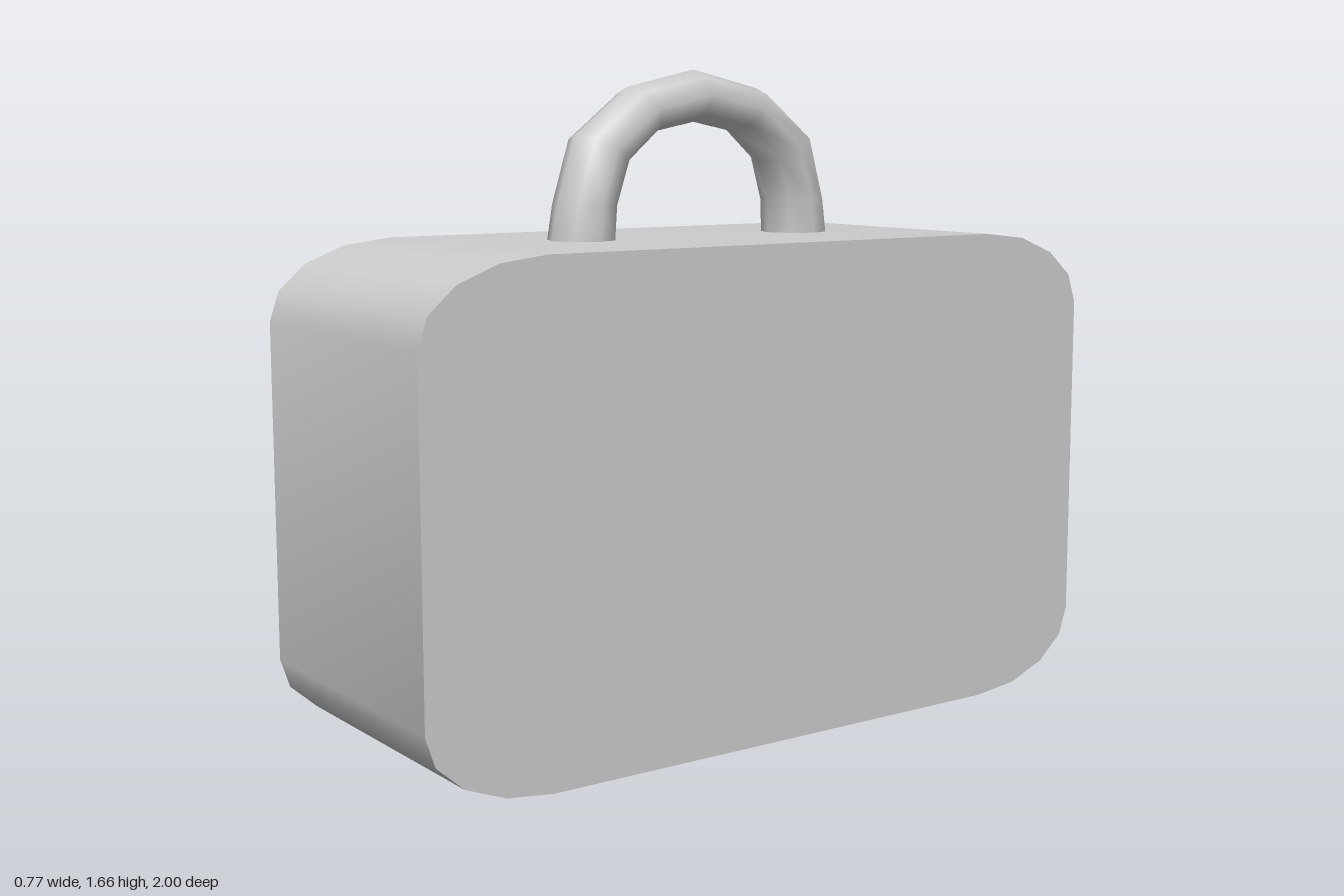
import * as THREE from 'three';
import { toCreasedNormals } from 'three/addons/utils/BufferGeometryUtils.js';

const WIDTH = 0.772, HEIGHT = 1.243;

// Case: rounded rectangle profile with elliptical corners, extruded across x
function caseGeometry() {
  const rx = 0.33, ry = 0.195, points = [];
  const corners = [[1, 1], [-1, 1], [-1, -1], [1, -1]];
  corners.forEach(([sx, sy], c) => {
    for (let i = 0; i <= 4; i++) {
      const a = c * Math.PI / 2 + i * Math.PI / 8;
      points.push(new THREE.Vector2(
        sx * (1 - rx) + rx * Math.cos(a),
        HEIGHT / 2 + sy * (HEIGHT / 2 - ry) + ry * Math.sin(a)));
    }
  });
  const geometry = new THREE.ExtrudeGeometry(new THREE.Shape(points), { depth: WIDTH, bevelEnabled: false });
  geometry.translate(0, 0, -WIDTH / 2);
  geometry.rotateY(Math.PI / 2);
  return toCreasedNormals(geometry, 0.8);
}

// Handle: eight-sided rings swept over an arch
function handleGeometry() {
  // outer z, outer y, inner z, inner y
  const half = [
    [0.42, 1.2, 0.25, 1.2],
    [0.42, 1.245, 0.25, 1.245],
    [0.405, 1.33, 0.247, 1.33],
    [0.355, 1.5, 0.215, 1.43],
    [0.2, 1.62, 0.127, 1.508],
  ];
  const mirrored = half.map(([oz, oy, iz, iy]) => [-oz, oy, -iz, iy]).reverse();
  const arch = [...half, [0, 1.665, 0, 1.533], ...mirrored];
  const sides = 8, positions = [], index = [];
  arch.forEach(([oz, oy, iz, iy], r) => {
    const cz = (oz + iz) / 2, cy = (oy + iy) / 2;
    const cx = -0.009 * (1.6 - cy) / 0.36; // slight lean
    for (let s = 0; s < sides; s++) {
      const a = s / sides * Math.PI * 2, k = Math.cos(a);
      positions.push(cx + 0.088 * Math.sin(a), cy + (oy - iy) / 2 * k, cz + (oz - iz) / 2 * k);
      if (r < arch.length - 1) {
        const p = r * sides + s, q = r * sides + (s + 1) % sides;
        index.push(p, q, p + sides, q, q + sides, p + sides);
      }
    }
  });
  const geometry = new THREE.BufferGeometry();
  geometry.setAttribute('position', new THREE.Float32BufferAttribute(positions, 3));
  geometry.setIndex(index);
  geometry.computeVertexNormals();
  return geometry;
}

export function createModel() {
  const grey = new THREE.MeshStandardMaterial({ color: 0xcccccc });
  grey.name = 'light grey';

  const body = new THREE.Mesh(caseGeometry(), grey);
  body.name = 'caseBody';
  const handle = new THREE.Mesh(handleGeometry(), grey);
  handle.name = 'handle';

  const model = new THREE.Group();
  model.name = 'suitcase';
  model.add(body, handle);
  return model;
}
